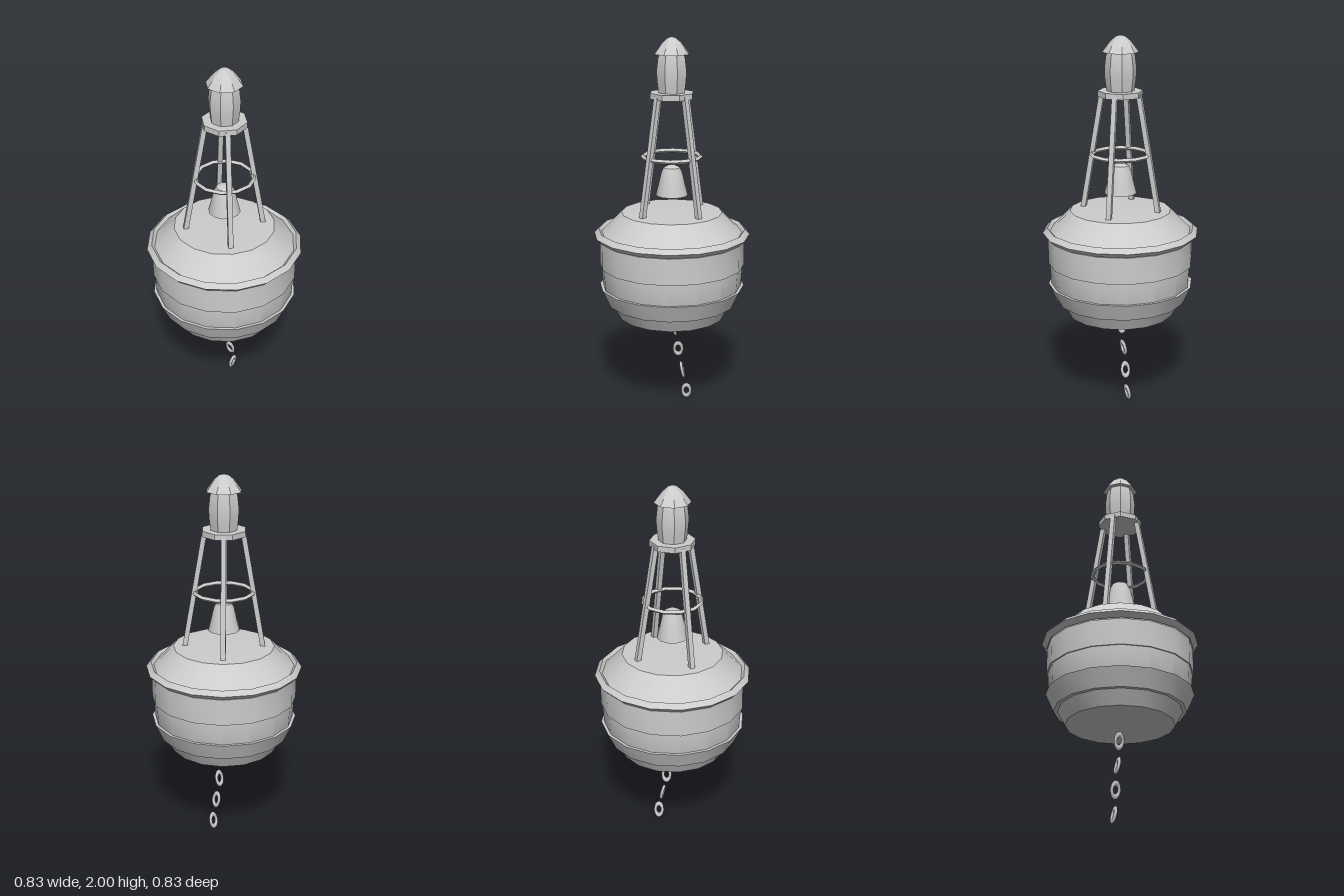
import * as THREE from 'three';
import { toCreasedNormals } from 'three/addons/utils/BufferGeometryUtils.js';

export function createModel() {
  const model = new THREE.Group();
  model.name = 'bellBuoy';
  const grey = new THREE.MeshStandardMaterial({ color: 0xcccccc });
  grey.name = 'paintedGrey';

  const add = (name, geometry, parent = model) => {
    const mesh = new THREE.Mesh(geometry, grey);
    mesh.name = name;
    parent.add(mesh);
    return mesh;
  };
  // Turned part from [radius, height] pairs, listed from bottom to top
  const turned = (name, profile, sides, crease = 0.45, turn = 0) => {
    const points = profile.map(([r, y]) => new THREE.Vector2(r, y));
    const geometry = new THREE.LatheGeometry(points, sides).rotateY(turn);
    return add(name, toCreasedNormals(geometry, crease));
  };
  // Horizontal ring with a diamond section
  const ring = (name, radius, tube, sides, y) =>
    add(name, toCreasedNormals(
      new THREE.TorusGeometry(radius, tube, 4, sides).rotateX(Math.PI / 2), 0.6)).position.y = y;

  // Float: hull with shallow conical bottom and sloping deck
  turned('hull', [
    [0, 0.47], [0.285, 0.505], [0.325, 0.58], [0.372, 0.67], [0.38, 0.79],
    [0.38, 0.965], [0.368, 0.975], [0.268, 1.078], [0, 1.09],
  ], 16);
  turned('lowerBand', [[0.31, 0.58], [0.345, 0.58], [0.388, 0.675], [0.36, 0.675]], 16);
  turned('upperBand', [[0.37, 0.79], [0.387, 0.79], [0.387, 0.932], [0.37, 0.932]], 16);
  ring('fender', 0.39, 0.025, 16, 0.96);

  // Tower: four leaning square legs and a brace ring
  for (const sx of [-1, 1]) {
    for (const sz of [-1, 1]) {
      const foot = new THREE.Vector3(0.146 * sx, 1.075, 0.146 * sz);
      const head = new THREE.Vector3(0.07 * sx, 1.7, 0.07 * sz);
      const leg = add('towerLeg', new THREE.BoxGeometry(0.026, foot.distanceTo(head), 0.026));
      leg.position.addVectors(foot, head).multiplyScalar(0.5);
      // Local z faces outward along the diagonal, then leans inward
      leg.rotation.order = 'YXZ';
      leg.rotation.y = Math.atan2(sx, sz);
      leg.rotation.x = -Math.atan2(0.076 * Math.SQRT2, 0.625);
    }
  }
  ring('braceRing', 0.152, 0.012, 12, 1.377);

  // Bell and clapper
  turned('bell', [
    [0, 1.172], [0.085, 1.17], [0.071, 1.225], [0.056, 1.29],
    [0.043, 1.318], [0.02, 1.33], [0, 1.332],
  ], 12, 0.6);
  add('clapper', new THREE.SphereGeometry(0.016, 8, 6)).position.y = 1.167;

  // Eight-sided lantern
  const eighth = Math.PI / 8;
  turned('platform', [[0, 1.685], [0.118, 1.685], [0.118, 1.715], [0, 1.715]], 8, 0.4, eighth);
  turned('lens', [
    [0, 1.71], [0.072, 1.71], [0.081, 1.78], [0.083, 1.83], [0.076, 1.89], [0.068, 1.92], [0, 1.92],
  ], 8, 0.4, eighth);
  turned('lanternCap', [
    [0, 1.913], [0.095, 1.913], [0.052, 1.97], [0.025, 1.993], [0, 2],
  ], 8, 0.55, eighth);

  // Mooring chain: oval links turned a quarter each time
  const chain = new THREE.Group();
  chain.name = 'mooringChain';
  model.add(chain);
  const linkGeometry = new THREE.TorusGeometry(0.021, 0.009, 6, 12).scale(1, 1.67, 1);
  for (let i = 0; i < 4; i++) {
    const link = add('chainLink', linkGeometry, chain);
    link.position.set(0.012 + 0.023 * i, 0.424 - 0.1235 * i, 0);
    link.rotation.order = 'YXZ';
    link.rotation.set(0.21, i % 2 === 0 ? -Math.PI / 2 : 0, 0);
  }

  return model;
}
